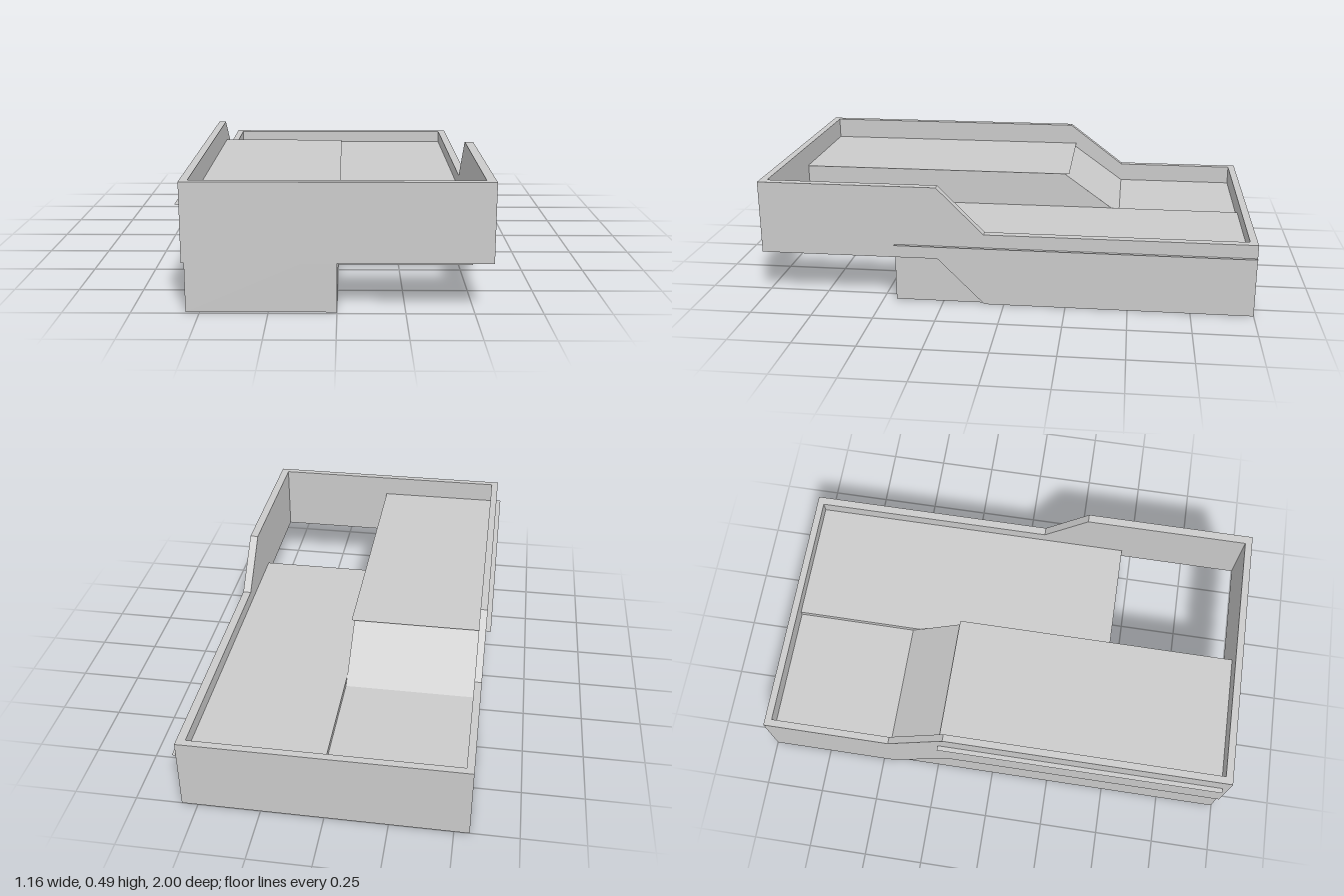
import * as THREE from 'three';

export function createModel() {
  const model = new THREE.Group();
  const solid = new THREE.MeshStandardMaterial({ color: 0xcccccc, flatShading: true });
  const thin = new THREE.MeshStandardMaterial({ color: 0xcccccc, flatShading: true, side: THREE.DoubleSide });

  const add = (name, geometry, material) => {
    const mesh = new THREE.Mesh(geometry, material);
    mesh.name = name;
    model.add(mesh);
    return mesh;
  };

  // outline drawn as [z, y] points
  const outline = (points) => new THREE.Shape(points.map(([z, y]) => new THREE.Vector2(z, y)));

  // flat four-cornered sheet
  const sheet = (name, a, b, c, d) => {
    const g = new THREE.BufferGeometry();
    g.setAttribute('position', new THREE.Float32BufferAttribute([...a, ...b, ...c, ...d], 3));
    g.setIndex([0, 1, 2, 0, 2, 3]);
    g.computeVertexNormals();
    add(name, g, thin);
  };
  const deck = (name, x0, x1, zBack, yBack, zFront, yFront) =>
    sheet(name, [x0, yBack, zBack], [x0, yFront, zFront], [x1, yFront, zFront], [x1, yBack, zBack]);
  const upright = (name, x0, z0, x1, z1, y0, y1) =>
    sheet(name, [x0, y0, z0], [x1, y0, z1], [x1, y1, z1], [x0, y1, z0]);

  const INNER = 0.53, T = 0.03;
  const BACK = 0.22, LOW = 0.245, HIGH = 0.4; // deck levels

  // side parapets: a band stepping down from the high front to the low back
  const sideWall = (name, xMin, xMax, zTop, zFoot) => {
    const shape = outline([
      [1, 0.19], [1, 0.49], [zTop, 0.49], [zFoot, 0.3],
      [-1, 0.3], [-1, 0], [zFoot, 0], [zTop, 0.19],
    ]);
    const g = new THREE.ExtrudeGeometry(shape, { depth: xMax - xMin, bevelEnabled: false });
    add(name, g.rotateY(-Math.PI / 2).translate(xMax, 0, 0), solid);
  };
  sideWall('parapetPlusX', INNER, 0.565, 0.27, 0.08);
  sideWall('parapetMinusX', -0.56, -INNER, -0.2, -0.45);

  // front and back parapets
  const endWidth = 2 * INNER;
  add('parapetFront', new THREE.BoxGeometry(endWidth, 0.3, T), solid).position.set(0, 0.34, 1 - T / 2);
  add('parapetBack', new THREE.BoxGeometry(endWidth, 0.3, T), solid).position.set(0, 0.15, -1 + T / 2);

  // decks, with edges showing as a fine line outside the side walls
  deck('upperDeck', -0.58, 0.01, -0.225, HIGH, 0.975, HIGH);
  deck('ramp', -INNER, 0, -0.45, BACK, -0.2, HIGH);
  deck('lowerDeckSide', 0, 0.58, -1, LOW, 0.445, LOW);
  deck('lowerDeckBack', -INNER, 0, -0.98, BACK, -0.45, BACK);

  // wall between the deck levels, reaching the ground beside the open corner
  const step = new THREE.ShapeGeometry(outline([
    [0.997, 0.004], [0.997, HIGH], [-0.2, HIGH], [-0.415, LOW],
    [-0.98, LOW], [-0.98, BACK], [0.445, BACK], [0.445, 0.004],
  ]));
  add('stepWall', step.rotateY(-Math.PI / 2), thin);

  // lower walls set slightly in from the parapets
  upright('lowerWallMinusX', -0.55, -0.46, -0.55, 0.997, 0.004, LOW);
  upright('lowerWallFront', -0.55, 0.997, 0, 0.997, 0.004, LOW);
  upright('lowerWallInnerFront', 0, 0.445, 0.558, 0.445, 0.004, LOW);
  upright('lowerWallPlusX', 0.558, 0.445, 0.558, 0.06, 0.004, LOW);

  return model;
}
